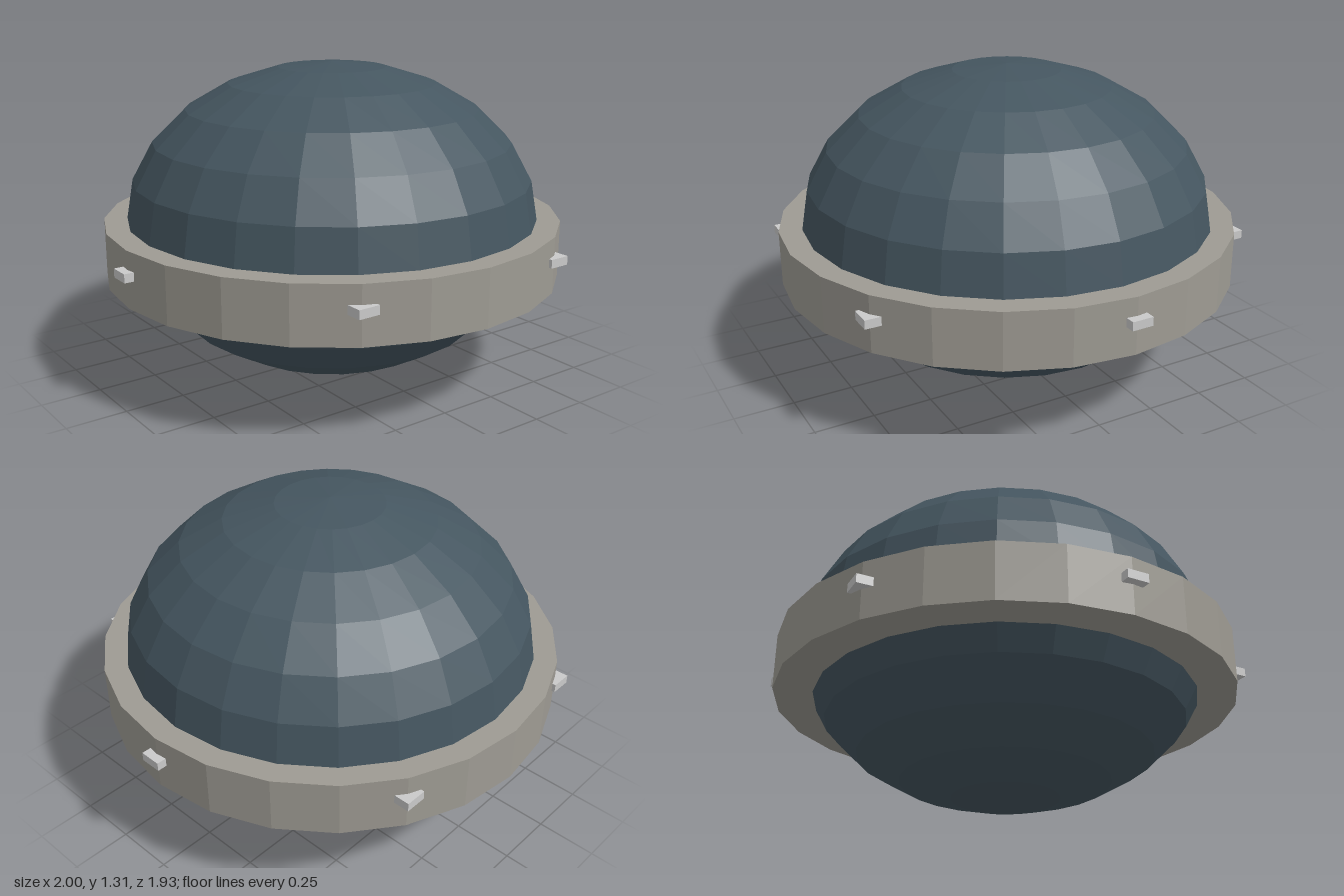
import * as THREE from 'three';

function material(name, color) {
  const m = new THREE.MeshStandardMaterial({ color, flatShading: true });
  m.name = name;
  return m;
}

export function createModel() {
  const model = new THREE.Group();
  model.name = 'bandedDome';
  const slate = material('slate blue', 0x455660);
  const stone = material('warm grey', 0x9e9b93);
  const pale = material('pale grey', 0xcacaca);

  const add = (name, geometry, mat, x, y, z) => {
    const mesh = new THREE.Mesh(geometry, mat);
    mesh.name = name;
    mesh.position.set(x, y, z);
    model.add(mesh);
  };

  // Flattened faceted body
  const body = new THREE.SphereGeometry(0.87, 24, 12);
  body.scale(1, 0.75, 1);
  add('body', body, slate, 0, 0.653, 0);

  // Wide band just below the equator
  add('band', new THREE.CylinderGeometry(0.966, 0.966, 0.235, 24), stone, 0, 0.538, 0);

  // Six square studs set into the band, all aligned to the axes
  const stud = new THREE.BoxGeometry(0.09, 0.036, 0.09);
  for (let i = 0; i < 6; i++) {
    const a = (i * Math.PI) / 3;
    add('stud' + (i + 1), stud, pale, 0.955 * Math.cos(a), 0.561, 0.955 * Math.sin(a));
  }
  return model;
}
